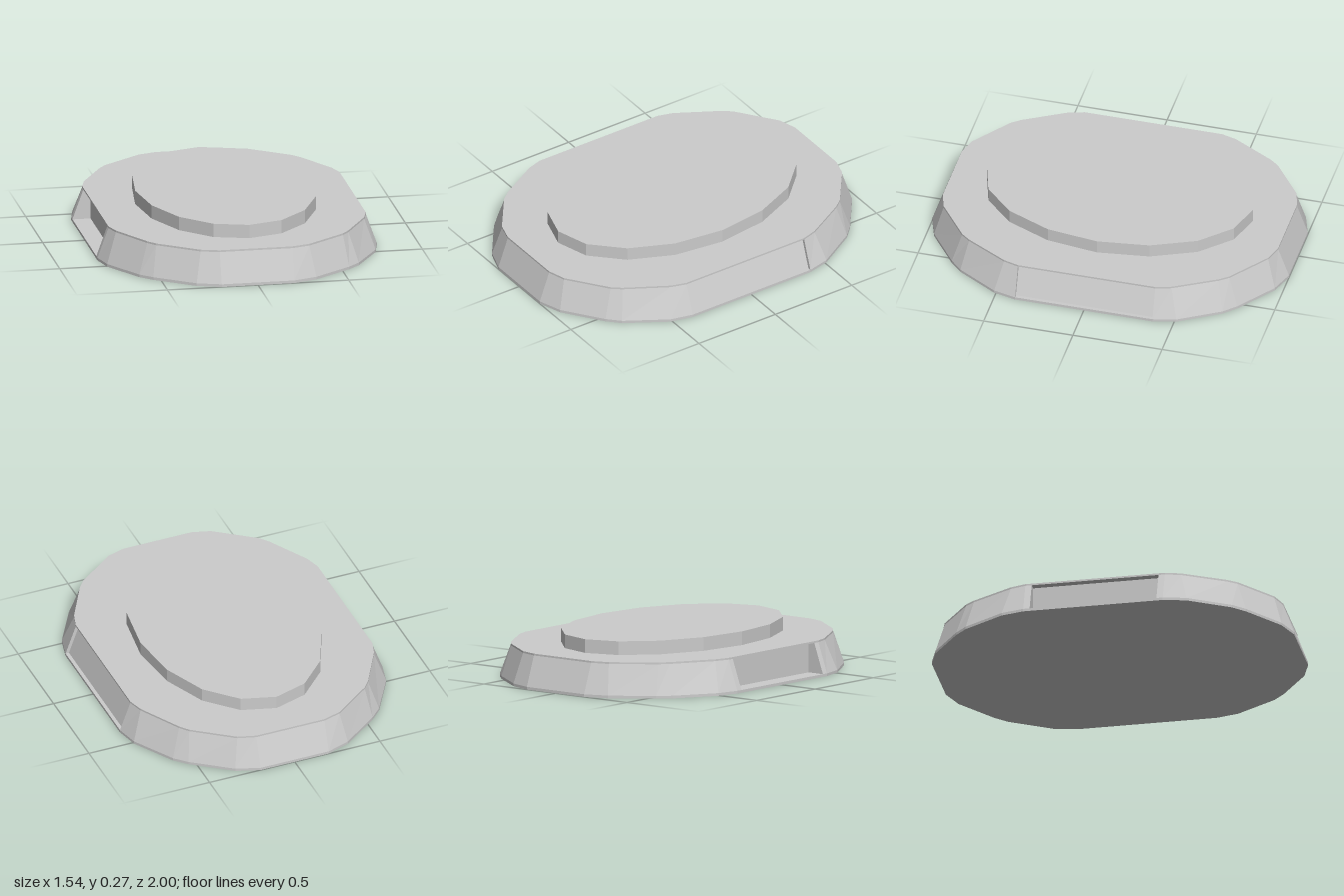
import * as THREE from 'three';

const material = new THREE.MeshStandardMaterial({ color: 0xcccccc, flatShading: true });

// Quarter outlines (x, z), from the side flat round to the front flat
const FOOT = [[0.77, 0.385], [0.74, 0.51], [0.605, 0.735], [0.54, 0.8], [0.33, 0.955], [0.2, 1]];
const RIM = [[0.71, 0.385], [0.685, 0.47], [0.555, 0.7], [0.515, 0.75], [0.3, 0.91], [0.2, 0.94]];
const LOW = 0.015, HIGH = 0.18, TOP = 0.19;

// Mirror a quarter outline into a closed ring at height y
function ring(quarter, y) {
  const back = [...quarter].reverse();
  return [
    ...quarter.map(([x, z]) => [x, y, z]),
    ...back.map(([x, z]) => [-x, y, z]),
    ...quarter.map(([x, z]) => [-x, y, -z]),
    ...back.map(([x, z]) => [x, y, -z]),
  ];
}

// Collects flat faces, each a fan of corners in counter-clockwise order
function faceMesh(name, faces) {
  const pos = [];
  for (const f of faces) {
    for (let i = 1; i < f.length - 1; i++) pos.push(...f[0], ...f[i], ...f[i + 1]);
  }
  const geo = new THREE.BufferGeometry();
  geo.setAttribute('position', new THREE.Float32BufferAttribute(pos, 3));
  geo.computeVertexNormals();
  const mesh = new THREE.Mesh(geo, material);
  mesh.name = name;
  return mesh;
}

// Tapered shell with an opening left in the flat of each side
function shell() {
  const rings = [ring(FOOT, 0), ring(FOOT, LOW), ring(RIM, HIGH), ring(RIM, TOP)];
  const n = rings[0].length;
  const faces = [rings[0], [...rings[3]].reverse()];
  for (let r = 0; r < 3; r++) {
    for (let i = 0; i < n; i++) {
      const j = (i + 1) % n;
      const sideFlat = i === n - 1 || i === n / 2 - 1;
      if (r === 1 && sideFlat) continue;
      faces.push([rings[r][j], rings[r][i], rings[r + 1][i], rings[r + 1][j]]);
    }
  }
  return faceMesh('base', faces);
}

// Pocket in a side flat: half length h, back wall from xLow to xHigh
function pocket(name, side, h, xLow, xHigh) {
  const edge = 0.385;
  const o = (z) => [[0.77, LOW, z], [0.71, HIGH, z]];
  const b = (z) => [[xLow, LOW, z], [xHigh, HIGH, z]];
  const [oA, oB] = [o(h), o(-h)], [bA, bB] = [b(h), b(-h)];
  const faces = [
    [bA[0], bB[0], bB[1], bA[1]], // back wall
    [oA[0], oB[0], bB[0], bA[0]], // floor
    [bA[1], bB[1], oB[1], oA[1]], // ceiling
    [oA[0], bA[0], bA[1], oA[1]], // front end
    [bB[0], oB[0], oB[1], bB[1]], // back end
  ];
  // Frame strips beside a shorter opening
  if (h < edge) {
    for (const [p, q] of [[edge, h], [-h, -edge]]) {
      faces.push([o(p)[0], o(q)[0], o(q)[1], o(p)[1]]);
    }
  }
  if (side < 0) {
    for (const f of faces) {
      f.reverse();
      f.forEach((v, i) => { f[i] = [-v[0], v[1], v[2]]; });
    }
  }
  return faceMesh(name, faces);
}

export function createModel() {
  const model = new THREE.Group();
  model.name = 'pedestal';
  model.add(shell());
  model.add(pocket('insetPanel', 1, 0.385, 0.75, 0.69));
  model.add(pocket('openSlot', -1, 0.35, 0.67, 0.67));

  // Raised oval platform
  const platform = new THREE.Mesh(new THREE.CylinderGeometry(1, 1, 0.075, 16), material);
  platform.scale.set(0.49, 1, 0.745);
  platform.position.y = TOP + 0.0375;
  platform.name = 'platform';
  model.add(platform);
  return model;
}
